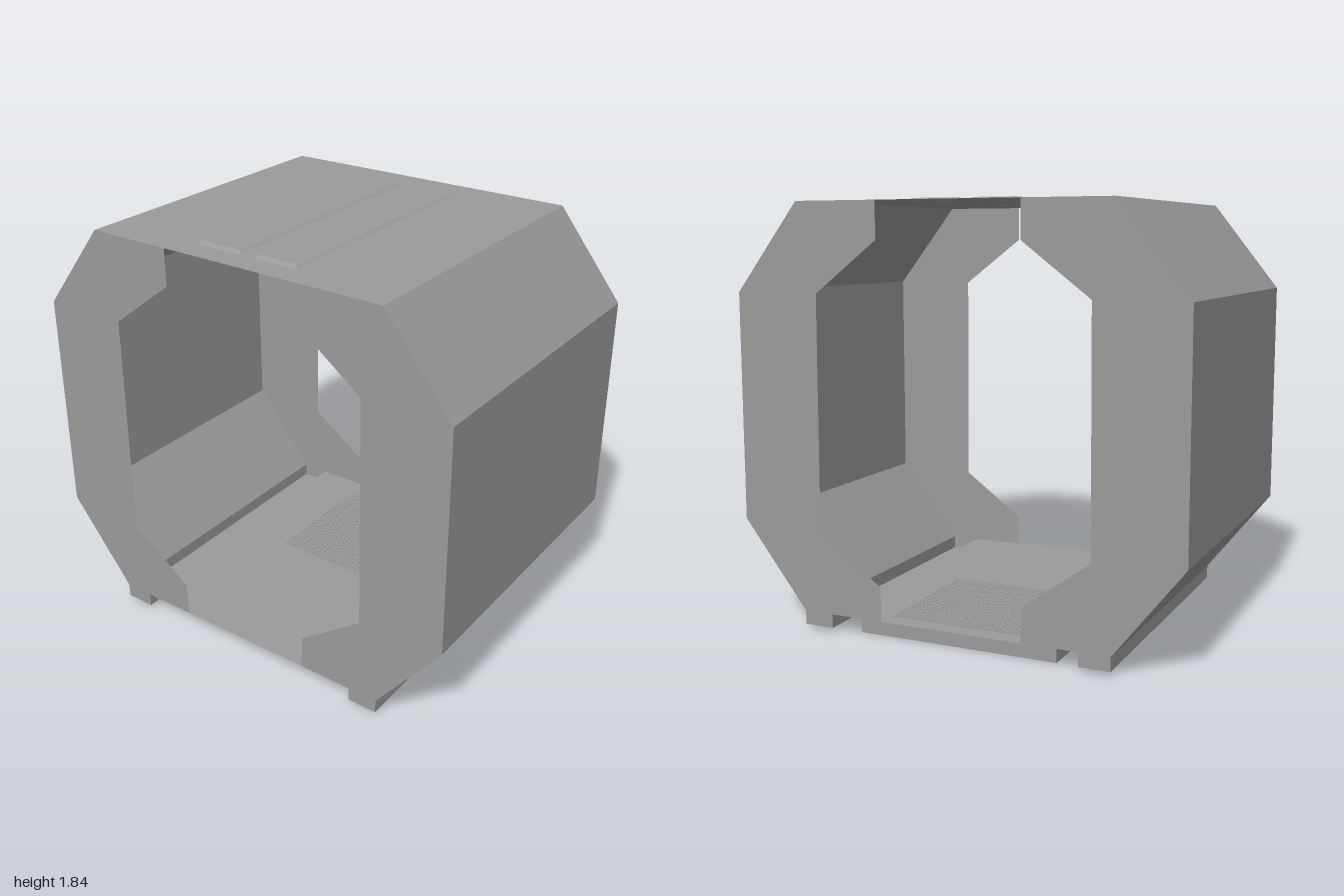
import * as THREE from 'three';
import { mergeGeometries } from 'three/addons/utils/BufferGeometryUtils.js';

const HALF = 0.7; // half depth of the shell
const FLOOR = 0.08, ROOF = 1.83;

const material = new THREE.MeshStandardMaterial({ color: 0x9b9b9b, flatShading: true, side: THREE.DoubleSide });

function part(name, geometry) {
  const mesh = new THREE.Mesh(geometry, material);
  mesh.name = name;
  return mesh;
}

// Flat quads, each given as four corners counter-clockwise from outside
function quads(list) {
  const pos = [];
  for (const [a, b, c, d] of list) pos.push(...a, ...b, ...c, ...a, ...c, ...d);
  const g = new THREE.BufferGeometry();
  g.setAttribute('position', new THREE.Float32BufferAttribute(pos, 3));
  g.computeVertexNormals();
  return g;
}

const toShape = (pts) => new THREE.Shape(pts.map(([x, y]) => new THREE.Vector2(x, y)));

// Rectangle corners in plan at height y, counter-clockwise from above
const rect = (x0, x1, z0, z1, y) => [[x0, y, z1], [x1, y, z1], [x1, y, z0], [x0, y, z0]];

export function createModel() {
  const model = new THREE.Group();
  model.name = 'octagonalHousing';

  // Half of the outer section: floor, foot channel, lower slope, wall, upper slope
  const section = [[0.565, FLOOR], [0.565, 0.02], [0.7, 0.02], [0.7, FLOOR], [1, 0.46], [1, 1.45], [0.7, ROOF]];
  const inner = [[0.32, ROOF], [0.32, 1.67], [0.61, 1.45], [0.615, 0.44], [0.325, 0.23], [0.32, FLOOR]];

  for (const [label, s] of [['left', 1], ['right', -1]]) {
    const faces = [];
    for (let i = 0; i < section.length - 1; i++) {
      const [x0, y0] = section[i], [x1, y1] = section[i + 1];
      const face = [[s * x0, y0, HALF], [s * x0, y0, -HALF], [s * x1, y1, -HALF], [s * x1, y1, HALF]];
      faces.push(s > 0 ? face : face.reverse());
    }
    model.add(part(label + 'Wall', quads(faces)));

    // Thin end plates closing the sides of both openings; the back one is turned about y
    for (const [end, dir] of [['Front', 1], ['Back', -1]]) {
      const outline = toShape([...section, ...inner].map(([x, y]) => [s * dir * x, y]));
      const plate = part(label + end + 'Plate', new THREE.ShapeGeometry(outline));
      plate.rotation.y = dir > 0 ? 0 : Math.PI;
      plate.position.z = dir * HALF;
      model.add(plate);
    }
  }

  // Floor sheet
  model.add(part('floor', quads([rect(-0.565, 0.565, -HALF, HALF, FLOOR)])));

  // Roof sheet, cut out under the two embossed ribs
  const ribs = [[-0.245, -0.033], [0.03, 0.242]];
  const z0 = -0.575, z1 = 0.585, rise = 0.01, bevelX = 0.013, bevelZ = 0.018;
  const roofShape = toShape([[-0.7, -HALF], [0.7, -HALF], [0.7, HALF], [-0.7, HALF]]);
  for (const [x0, x1] of ribs) {
    roofShape.holes.push(toShape([[x0, -z1], [x0, -z0], [x1, -z0], [x1, -z1]]));
  }
  const roof = new THREE.ShapeGeometry(roofShape);
  roof.rotateX(-Math.PI / 2);
  roof.translate(0, ROOF, 0);
  model.add(part('roof', roof));

  // Embossed ribs with bevelled edges, hollow underneath
  for (const [x0, x1] of ribs) {
    const low = rect(x0, x1, z0, z1, ROOF);
    const top = rect(x0 + bevelX, x1 - bevelX, z0 + bevelZ, z1 - bevelZ, ROOF + rise);
    const faces = [top];
    for (let i = 0; i < 4; i++) {
      const j = (i + 1) % 4;
      faces.push([low[i], low[j], top[j], top[i]]);
    }
    model.add(part('roofRib', quads(faces)));
  }

  // Shallow box under the floor, towards the back
  const base = new THREE.BoxGeometry(0.905, 0.078, 0.81);
  base.translate(0, 0.039, -0.24);
  model.add(part('undersideBox', base));

  // Fine square grille on the floor
  const bars = [];
  const count = 32, width = 0.62, depth = 0.6, gridZ = -0.31;
  for (let i = 0; i <= count; i++) {
    const t = i / count - 0.5;
    const across = new THREE.BoxGeometry(width, 0.005, 0.008);
    across.translate(0, FLOOR + 0.0025, gridZ + t * depth);
    const along = new THREE.BoxGeometry(0.008, 0.004, depth);
    along.translate(t * width, FLOOR + 0.002, gridZ);
    bars.push(across, along);
  }
  model.add(part('floorGrille', mergeGeometries(bars)));

  return model;
}
